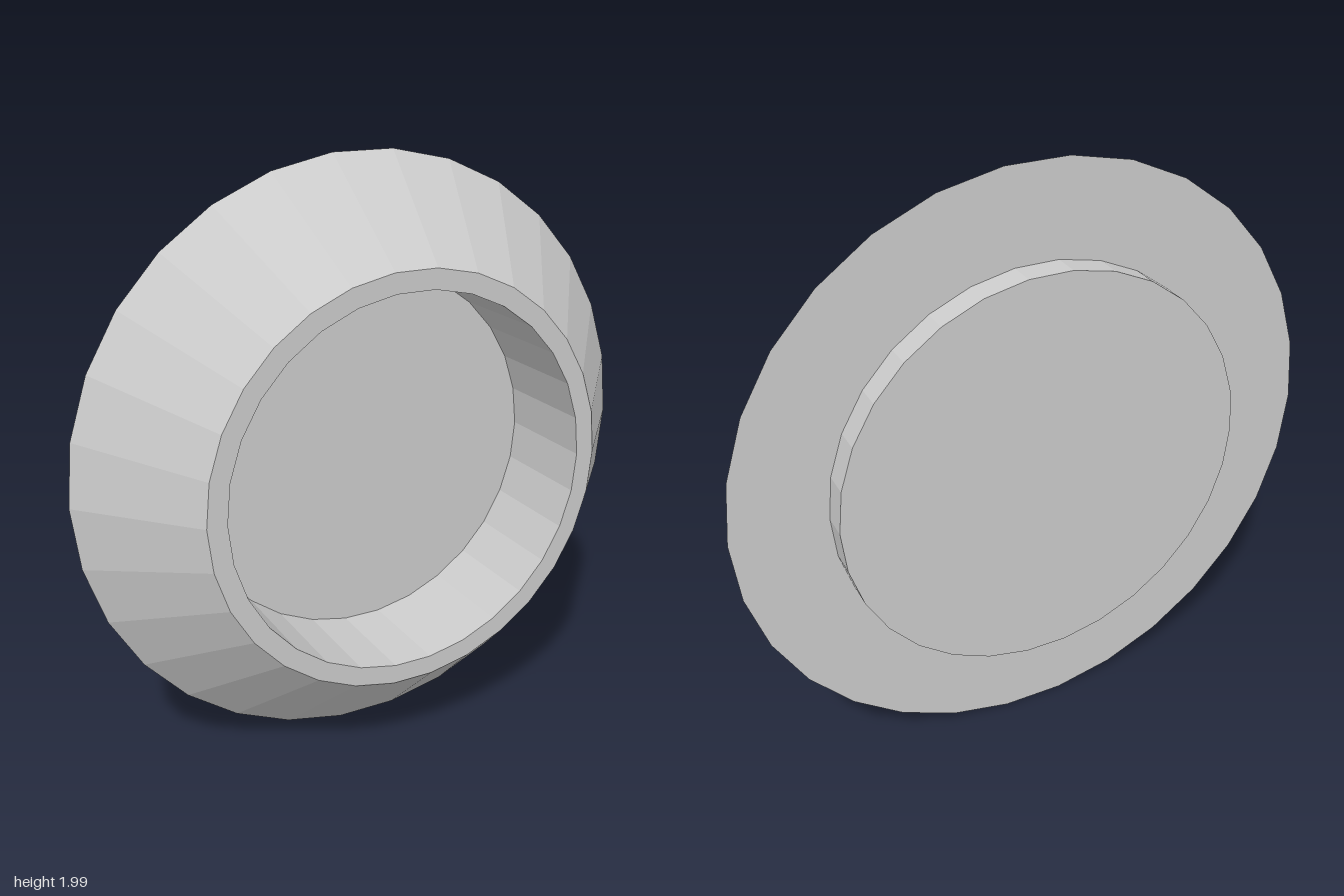
import * as THREE from 'three';

const SIDES = 30;
const BACK = -0.215, FLANGE = -0.125, FRONT = 0.215; // depths along z
const FLOOR = -0.155;                                // bottom of the recess
const OUTER = 1, HUB = 0.69, BORE = 0.625;           // radii

export function createModel() {
  const model = new THREE.Group();
  model.name = 'flangedCup';
  const material = new THREE.MeshStandardMaterial({ color: 0xcccccc, flatShading: true });

  // Revolves a [radius, depth] profile around the z axis, with a corner on +x
  const revolve = (name, points) => {
    const profile = points.map(([r, z]) => new THREE.Vector2(r, z));
    const geometry = new THREE.LatheGeometry(profile, SIDES, Math.PI / 2);
    geometry.rotateX(Math.PI / 2);
    const mesh = new THREE.Mesh(geometry, material);
    mesh.name = name;
    model.add(mesh);
  };

  // Closed plug at the back
  revolve('backPlug', [[0, BACK], [HUB, BACK], [HUB, FLANGE]]);

  // Flat flange behind the sloping outer wall
  revolve('slopedFlange', [[HUB, FLANGE], [OUTER, FLANGE], [HUB, FRONT]]);

  // Front rim, bore wall and recess floor
  revolve('rimAndRecess', [[HUB, FRONT], [BORE, FRONT], [BORE, FLOOR], [0, FLOOR]]);

  // The lowest flat side rests on the ground
  model.position.y = OUTER * Math.cos(Math.PI / SIDES);
  return model;
}
